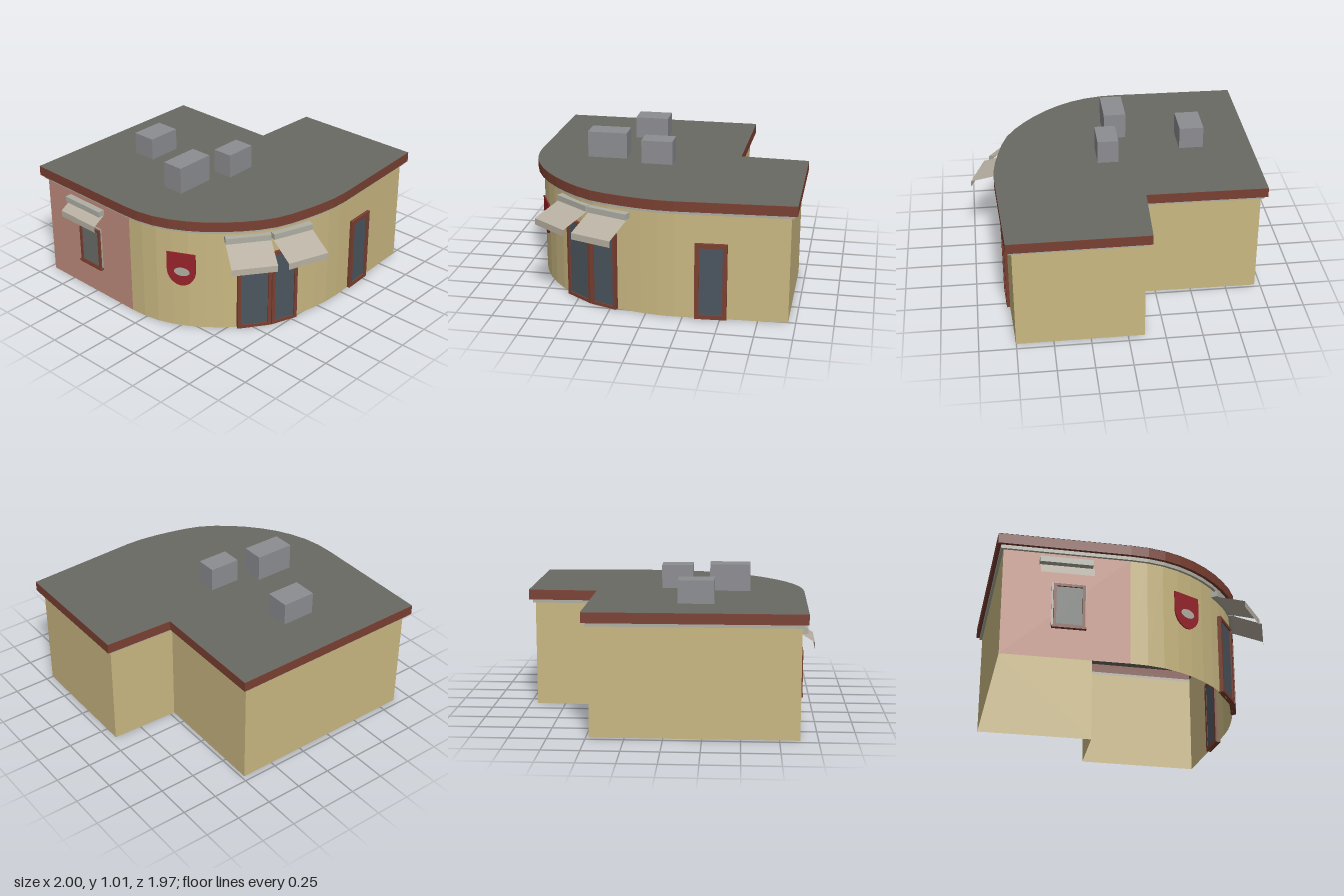
import * as THREE from 'three';

const mat = (name, color, side = THREE.FrontSide) => {
  const m = new THREE.MeshStandardMaterial({ color, side, flatShading: true });
  m.name = name;
  return m;
};

export function createModel() {
  const D = THREE.DoubleSide;
  const M = {
    tan: mat('tan plaster', 0xcab882, D),
    pink: mat('pink plaster', 0xc08d7d, D),
    brown: mat('red brown', 0x7a4032, D),
    roof: mat('roof grey', 0x6a6a63, D),
    trim: mat('pale trim', 0xb0afa4, D),
    awning: mat('awning cloth', 0xb9b1a3, D),
    glass: mat('door glass', 0x4b565f),
    pane: mat('window glass', 0x6a6f69),
    red: mat('sign red', 0x96242b),
    unit: mat('roof unit grey', 0x8c8d91),
  };
  const root = new THREE.Group();
  root.name = 'cornerShop';
  const add = (parent, name, geo, material, x = 0, y = 0, z = 0) => {
    const m = new THREE.Mesh(geo, material);
    m.name = name;
    m.position.set(x, y, z);
    parent.add(m);
    return m;
  };
  const box = (parent, name, material, x0, x1, y0, y1, z0, z1) =>
    add(parent, name, new THREE.BoxGeometry(x1 - x0, y1 - y0, z1 - z0), material,
      (x0 + x1) / 2, (y0 + y1) / 2, (z0 + z1) / 2);

  // Roof outline (x, z), with the rounded street corner
  const V = (x, z) => new THREE.Vector2(x, z);
  const corner = new THREE.SplineCurve([V(-0.13, 0.935), V(0.07, 0.917), V(0.3, 0.826),
    V(0.52, 0.655), V(0.71, 0.41), V(0.797, 0.136), V(0.834, -0.104), V(0.834, -0.195)]);
  const outline = [V(-1, 0.922), ...corner.getSpacedPoints(14), V(0.79, -0.99),
    V(-0.15, -0.99), V(-0.17, -0.51), V(-1, -0.52)];

  // Outline moved inwards by d, with mitred corners
  const inset = (d) => outline.map((p, i) => {
    const n = outline.length;
    const a = p.clone().sub(outline[(i + n - 1) % n]).normalize();
    const b = outline[(i + 1) % n].clone().sub(p).normalize();
    const na = V(a.y, -a.x), nb = V(b.y, -b.x);
    return p.clone().addScaledVector(na.clone().add(nb), d / (1 + na.dot(nb)));
  });
  const flip = (pts) => pts.map((p) => V(p.x, -p.y));

  // Walls: upright strip around the inset outline, front stretch pink
  const wall = inset(0.04);
  const wallTop = 0.74;
  const strip = (from, to) => {
    const pos = [];
    for (let i = from; i < to; i++) {
      const a = wall[i], b = wall[(i + 1) % wall.length];
      pos.push(a.x, 0, a.y, b.x, 0, b.y, b.x, wallTop, b.y,
        a.x, 0, a.y, b.x, wallTop, b.y, a.x, wallTop, a.y);
    }
    const g = new THREE.BufferGeometry();
    g.setAttribute('position', new THREE.Float32BufferAttribute(pos, 3));
    g.computeVertexNormals();
    return g;
  };
  add(root, 'pinkFrontWall', strip(0, 1), M.pink);
  add(root, 'tanWalls', strip(1, wall.length), M.tan);

  // Bands under the roof edge
  const band = (name, material, d, y0, y1) => {
    const s = new THREE.Shape(flip(inset(d)));
    s.holes.push(new THREE.Path(flip(wall)));
    const g = new THREE.ExtrudeGeometry(s, { depth: y1 - y0, bevelEnabled: false });
    add(root, name, g.rotateX(-Math.PI / 2), material, 0, y0, 0);
  };
  band('cornice', M.trim, 0.022, 0.735, 0.76);
  band('fascia', M.brown, 0, 0.76, 0.828);
  add(root, 'roof', new THREE.ShapeGeometry(new THREE.Shape(flip(outline))).rotateX(-Math.PI / 2),
    M.roof, 0, 0.83, 0);

  // Rooftop units
  [[-0.655, -0.485, 0.08, 0.32, 0.985], [-0.125, 0.03, 0.28, 0.56, 1.015],
    [-0.035, 0.11, -0.06, 0.16, 0.995]].forEach(([x0, x1, z0, z1, y]) =>
    box(root, 'roofUnit', M.unit, x0, x1, 0.828, y, z0, z1));

  // Group on the wall from (ax, az) to (bx, bz): local x along, z outwards
  const onWall = (name, ax, az, bx, bz) => {
    const g = new THREE.Group();
    g.name = name;
    g.position.set((ax + bx) / 2, 0, (az + bz) / 2);
    g.rotation.y = Math.atan2(az - bz, bx - ax);
    g.userData.w = Math.hypot(bx - ax, bz - az);
    root.add(g);
    return g;
  };

  // Framed opening: four bars and a pane
  const opening = (g, y0, y1, bar, glass) => {
    const h = g.userData.w / 2;
    box(g, 'frameLeft', M.brown, -h, -h + bar, y0, y1, -0.015, 0.022);
    box(g, 'frameRight', M.brown, h - bar, h, y0, y1, -0.015, 0.022);
    box(g, 'frameTop', M.brown, -h + bar, h - bar, y1 - bar, y1, -0.015, 0.022);
    box(g, 'frameBottom', M.brown, -h + bar, h - bar, y0, y0 + bar, -0.015, 0.022);
    box(g, 'pane', glass, -h + bar, h - bar, y0 + bar, y1 - bar, -0.012, 0.012);
  };
  opening(onWall('cornerDoorFront', 0.547, 0.575, 0.68, 0.385), 0.001, 0.56, 0.022, M.glass);
  opening(onWall('cornerDoorBack', 0.68, 0.385, 0.745, 0.2), 0.001, 0.56, 0.022, M.glass);
  opening(onWall('sideDoor', 0.786, -0.33, 0.774, -0.545), 0.001, 0.535, 0.03, M.glass);

  // Front window with pale surround and sill
  const win = onWall('frontWindow', -0.63, 0.8865, -0.425, 0.89);
  opening(win, 0.21, 0.515, 0.018, M.pane);
  box(win, 'surround', M.trim, -0.115, 0.108, 0.215, 0.525, 0, 0.008);
  box(win, 'sill', M.brown, -0.113, 0.11, 0.203, 0.217, 0, 0.026);

  // Awning: cassette box, sloping cloth and hanging valance
  const awning = (ends, top, depth, slopeY, hemY, startZ) => {
    const g = onWall('awning', ...ends);
    const h = g.userData.w / 2;
    box(g, 'cassette', M.trim, -h, h, top - 0.04, top, -0.005, 0.048);
    const profile = [[startZ, top - 0.04], [depth, slopeY], [depth, hemY]];
    for (let i = 0; i < 2; i++) {
      const [za, ya] = profile[i], [zb, yb] = profile[i + 1];
      const cloth = add(g, i ? 'valance' : 'cloth',
        new THREE.PlaneGeometry(2 * h, Math.hypot(zb - za, yb - ya)), M.awning,
        0, (ya + yb) / 2, (za + zb) / 2);
      cloth.rotation.x = -Math.atan2(zb - za, ya - yb);
    }
  };
  awning([0.487, 0.632, 0.667, 0.387], 0.71, 0.24, 0.59, 0.545, 0.03);
  awning([0.672, 0.386, 0.772, 0.106], 0.71, 0.24, 0.59, 0.545, 0.03);
  awning([-0.725, 0.885, -0.38, 0.891], 0.69, 0.092, 0.595, 0.55, 0.005);

  // Shield-shaped wall sign with a plain oval
  const sign = onWall('wallSign', 0.17, 0.844, 0.35, 0.757);
  const shield = new THREE.Shape();
  shield.moveTo(-0.1, 0.57).lineTo(-0.1, 0.44);
  shield.bezierCurveTo(-0.1, 0.375, -0.05, 0.325, 0, 0.325);
  shield.bezierCurveTo(0.05, 0.325, 0.1, 0.375, 0.1, 0.44);
  shield.lineTo(0.1, 0.57);
  add(sign, 'shield', new THREE.ExtrudeGeometry(shield, { depth: 0.009, bevelEnabled: false }),
    M.red, 0, 0, 0.006);
  add(sign, 'oval', new THREE.CircleGeometry(1, 24).scale(0.055, 0.032, 1), M.trim, 0.005, 0.432, 0.017);

  return root;
}
